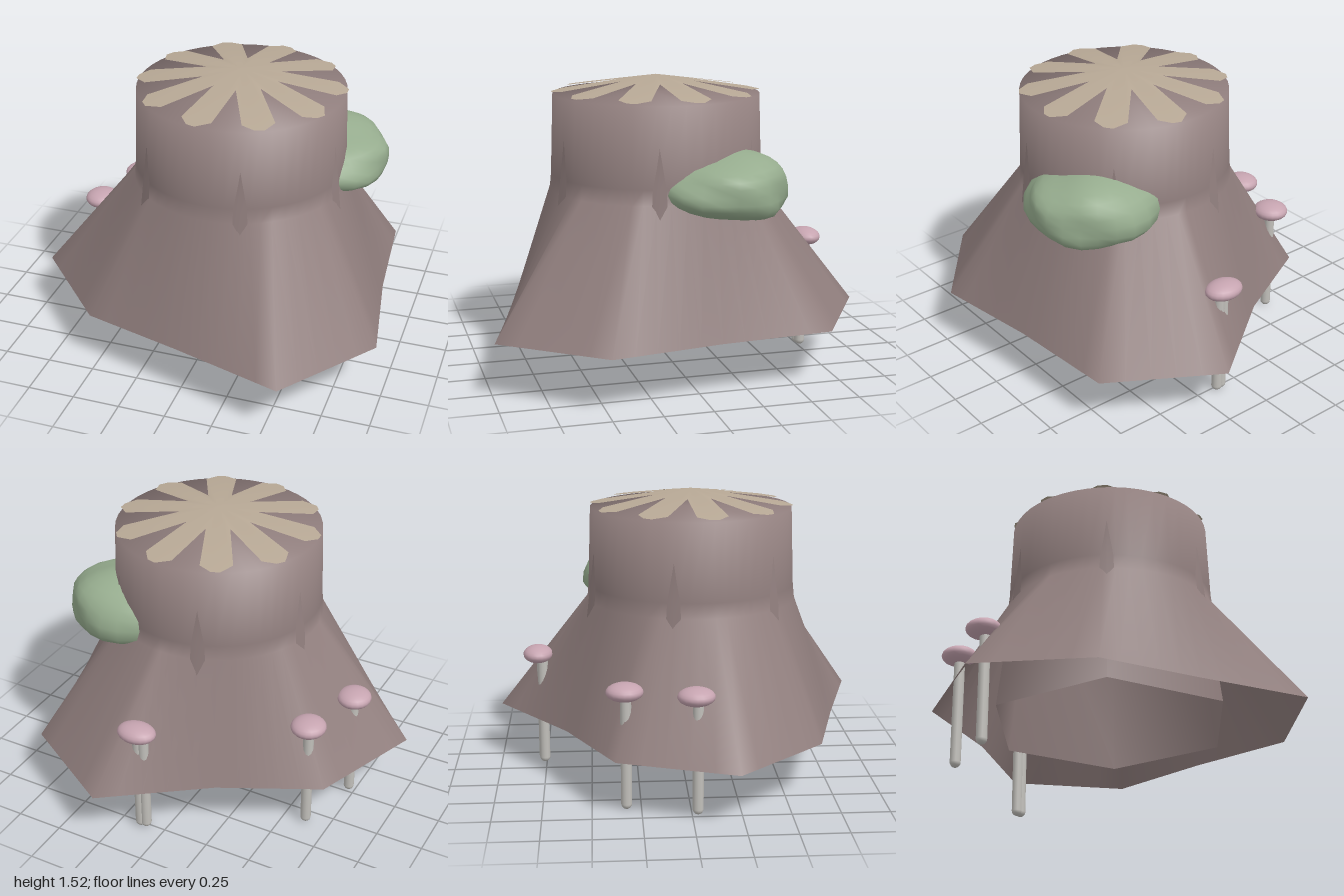
import * as THREE from 'three';
import { mergeVertices } from 'three/addons/utils/BufferGeometryUtils.js';

const mat = (name, color, side = THREE.FrontSide) => {
  const m = new THREE.MeshStandardMaterial({ color, side });
  m.name = name;
  return m;
};

// Trunk axis and main heights
const CX = 0.1, CZ = 0.05, BASE = 0.29, SHOULDER = 0.94, TOP = 1.43;

function surface(points, index) {
  const g = new THREE.BufferGeometry();
  g.setAttribute('position', new THREE.Float32BufferAttribute(points, 3));
  g.setIndex(index);
  g.computeVertexNormals();
  return g;
}

// Bark: uneven root outline rising to a round, tapered trunk, closed on top
function barkGeometry() {
  const outline = [[0.96, 0.49], [0.58, 0.99], [0, 0.82], [-0.53, 0.68], [-0.96, 0.22],
    [-0.74, -0.38], [-0.24, -0.63], [0.27, -1.0], [0.82, -0.67], [0.87, -0.08]];
  const steps = 5, n = outline.length * steps, points = [], index = [];
  for (let i = 0; i < n; i++) {
    const a = outline[Math.floor(i / steps)];
    const b = outline[(Math.floor(i / steps) + 1) % outline.length];
    const t = (i % steps) / steps;
    const x = a[0] + (b[0] - a[0]) * t, z = a[1] + (b[1] - a[1]) * t;
    const ang = Math.atan2(z - CZ, x - CX), c = Math.cos(ang), s = Math.sin(ang);
    points.push(x, BASE, z);
    for (const [r, y] of [[0.56, SHOULDER], [0.552, 1.02], [0.538, TOP]]) {
      points.push(CX + c * r, y, CZ + s * r);
    }
  }
  points.push(CX, TOP, CZ);
  for (let i = 0; i < n; i++) {
    const next = (i + 1) % n;
    for (let j = 0; j < 3; j++) {
      const p = i * 4 + j, q = next * 4 + j;
      index.push(p, p + 1, q, q, p + 1, q + 1);
    }
    index.push(n * 4, next * 4 + 3, i * 4 + 3);
  }
  return surface(points, index);
}

// Hollow six-sided core whose corners break through the bark as ridges
function coreGeometry() {
  let g = new THREE.CylinderGeometry(0.52, 0.66, TOP - BASE - 0.01, 6, 1, true);
  g.deleteAttribute('uv');
  g.deleteAttribute('normal');
  g = mergeVertices(g);
  g.computeVertexNormals();
  // A corner points along 13 degrees from +x towards +z
  g.rotateY(THREE.MathUtils.degToRad(-13 - 30));
  return g.translate(CX, (BASE + TOP) / 2 - 0.005, CZ);
}

// Cut face: shallow cone split into ten pointed rays
function cutFaceGeometry() {
  const points = [0, 1.525, 0], index = [];
  const ray = [[0.2, -18], [0.495, -9.5], [0.545, -2], [0.54, 3], [0.495, 9.5]];
  const n = ray.length * 10;
  for (let k = 0; k < 10; k++) {
    for (const [r, deg] of ray) {
      const a = THREE.MathUtils.degToRad(-81 + k * 36 + deg);
      points.push(Math.cos(a) * r, 1.525 - 0.085 * r / 0.545, Math.sin(a) * r);
    }
  }
  for (let i = 0; i < n; i++) index.push(0, 1 + (i + 1) % n, 1 + i);
  return surface(points, index).translate(CX, 0, CZ);
}

// Lumpy moss cushion: a squarish ellipsoid, thinner towards the front
function mossGeometry() {
  let g = new THREE.SphereGeometry(1, 24, 16);
  g.deleteAttribute('uv');
  g.deleteAttribute('normal');
  g = mergeVertices(g);
  const p = g.attributes.position, v = new THREE.Vector3();
  for (let i = 0; i < p.count; i++) {
    v.fromBufferAttribute(p, i);
    const k = 1 + 0.04 * Math.sin(4 * v.x + 5 * v.y + 1) + 0.03 * Math.sin(6 * v.z - 4 * v.y);
    const h = Math.sign(v.y) * Math.pow(Math.abs(v.y), 0.85) * (1 - 0.2 * v.z);
    p.setXYZ(i, v.x * k * 0.37, h * k * 0.18, v.z * k * 0.345);
  }
  g.rotateY(0.51);
  g.translate(0.47, 0.995, -0.17);
  g.computeVertexNormals();
  return g;
}

export function createModel() {
  const model = new THREE.Group();
  model.name = 'treeStump';
  const bark = mat('bark', 0x917f7e, THREE.DoubleSide);
  const wood = mat('cutWood', 0xb7a895, THREE.DoubleSide);
  const moss = mat('moss', 0x96ac8e);
  const pink = mat('mushroomPink', 0xc6a4b0);
  const pale = mat('stemGrey', 0xc1bfba);

  const add = (parent, name, geometry, material) => {
    const mesh = new THREE.Mesh(geometry, material);
    mesh.name = name;
    parent.add(mesh);
    return mesh;
  };

  add(model, 'barkAndRoots', barkGeometry(), bark);
  add(model, 'core', coreGeometry(), bark);
  add(model, 'cutFace', cutFaceGeometry(), wood);
  add(model, 'moss', mossGeometry(), moss);

  // Mushrooms: cap centre x, z, radii x, z, then stem positions
  const mushrooms = [
    [0.125, -0.785, 0.105, 0.08, [[0.105, -0.76], [0.135, -0.765]]],
    [-0.62, -0.33, 0.092, 0.095, [[-0.62, -0.325]]],
    [-0.72, 0.02, 0.09, 0.095, [[-0.715, 0.03]]],
  ];
  for (const [x, z, rx, rz, stems] of mushrooms) {
    const mushroom = new THREE.Group();
    mushroom.name = 'mushroom';
    const cap = add(mushroom, 'mushroomCap', new THREE.SphereGeometry(1, 20, 12), pink);
    cap.scale.set(rx, 0.047, rz);
    cap.position.set(x, 0.617, z);
    for (const [sx, sz] of stems) {
      const stem = add(mushroom, 'mushroomStem', new THREE.CapsuleGeometry(0.028, 0.554, 5, 12), pale);
      stem.position.set(sx, 0.305, sz);
    }
    model.add(mushroom);
  }
  return model;
}
